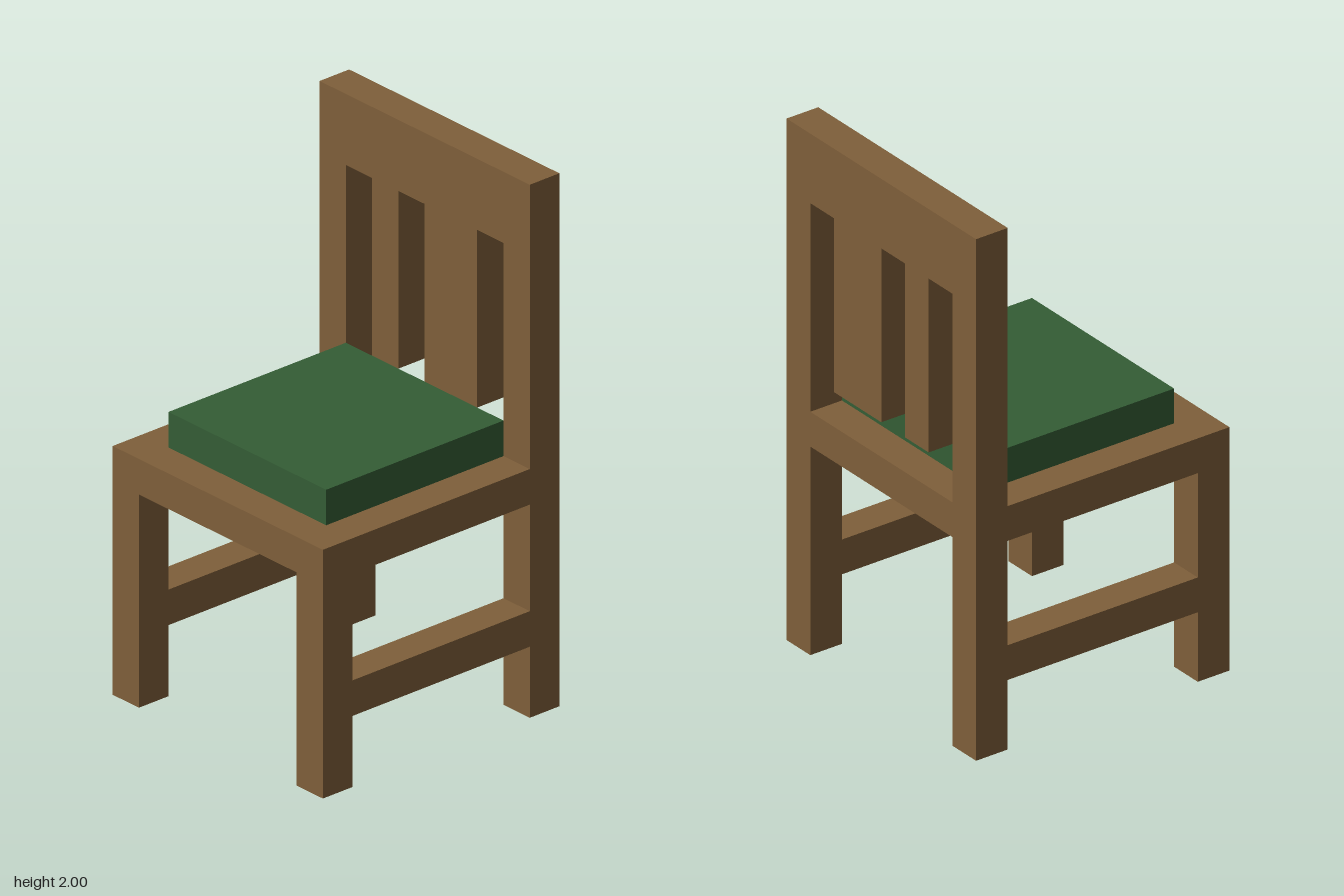
import * as THREE from 'three';

// The chair is laid out on a grid of 15 units in height.
const U = 2 / 15;

export function createModel() {
  const chair = new THREE.Group();
  chair.name = 'chair';
  const wood = new THREE.MeshStandardMaterial({ color: 0x7f5f3a });
  wood.name = 'brown wood';
  const fabric = new THREE.MeshStandardMaterial({ color: 0x345d35 });
  fabric.name = 'green fabric';

  // Box given by its extents along each axis, in grid units.
  function box(name, [x0, x1], [y0, y1], [z0, z1], material = wood) {
    const geometry = new THREE.BoxGeometry((x1 - x0) * U, (y1 - y0) * U, (z1 - z0) * U);
    const mesh = new THREE.Mesh(geometry, material);
    mesh.position.set((x0 + x1) / 2 * U, (y0 + y1) / 2 * U, (z0 + z1) / 2 * U);
    mesh.name = name;
    chair.add(mesh);
  }

  // Legs, back posts and side stretchers, mirrored
  for (const [side, x] of [['left', [3, 4]], ['right', [-4, -3]]]) {
    box(side + 'FrontLeg', x, [0, 6], [3, 4]);
    box(side + 'BackPost', x, [0, 13], [-4, -3]);
    box(side + 'Stretcher', x, [2, 3], [-3, 3]);
  }

  // Seat with its rear rail between the posts, and the cushion
  box('seat', [-4, 4], [6, 7], [-3, 4]);
  box('rearSeatRail', [-3, 3], [6, 7], [-4, -3]);
  box('cushion', [-3, 3], [7, 8], [-3, 3], fabric);

  // Backrest: top rail and two hanging slats, one narrow and one wide
  box('topRail', [-4, 4], [13, 15], [-4, -3]);
  box('narrowSlat', [-2, -1], [8, 13], [-4, -3]);
  box('wideSlat', [0, 2], [8, 13], [-4, -3]);

  return chair;
}
